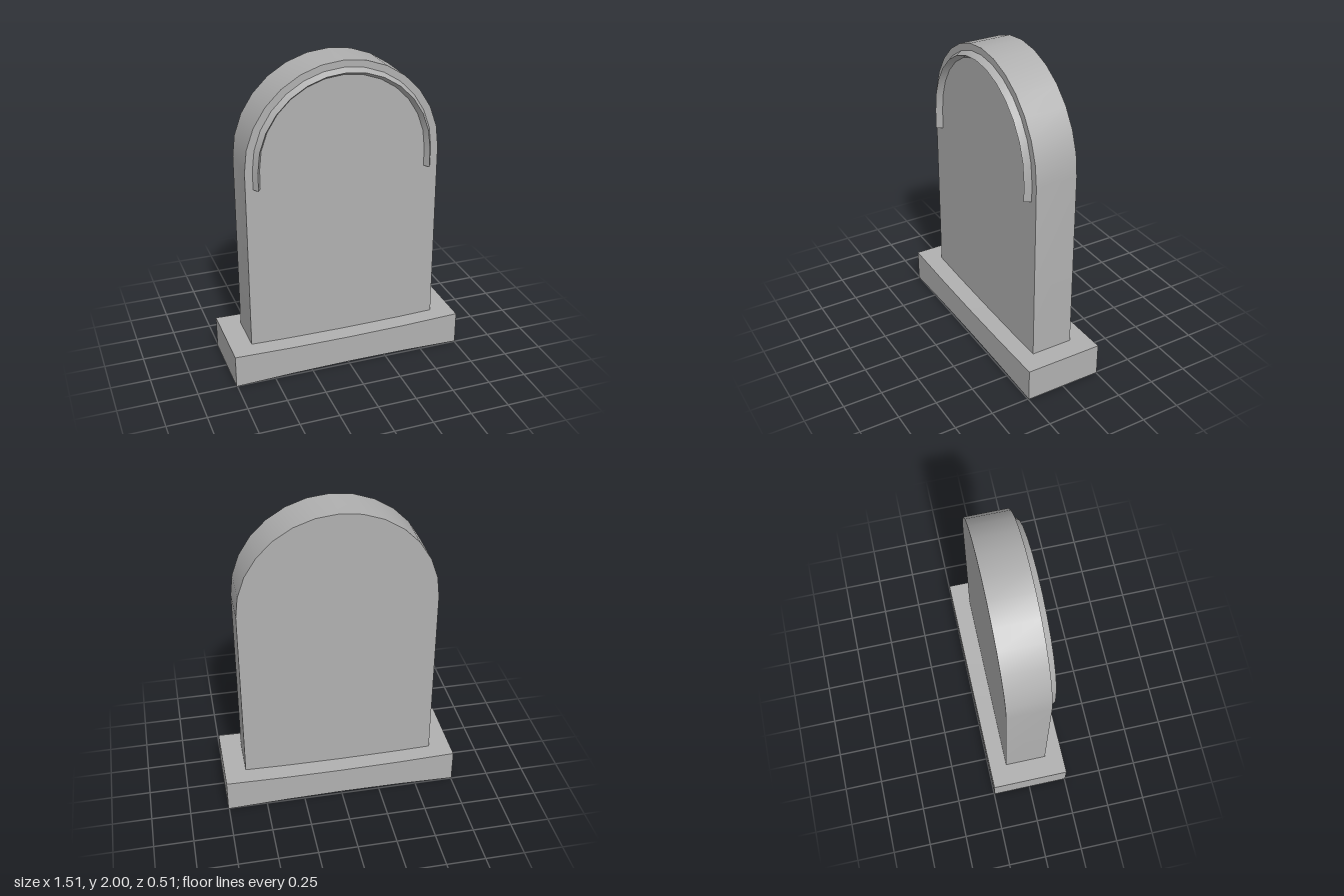
import * as THREE from 'three';
import { toCreasedNormals } from 'three/addons/utils/BufferGeometryUtils.js';

const ARCH_SEGMENTS = 14;

// Points of a round-topped outline, from the right foot over the arch to the left foot
function archPath(radius, springY, footY) {
  const points = [[radius, footY]];
  for (let i = 0; i <= ARCH_SEGMENTS; i++) {
    const a = (i / ARCH_SEGMENTS) * Math.PI;
    points.push([radius * Math.cos(a), springY + radius * Math.sin(a)]);
  }
  points.push([-radius, footY]);
  return points;
}

// Upright slab with a round top
function slabGeometry() {
  const shape = new THREE.Shape(archPath(0.617, 1.383, 0.18).map(([x, y]) => new THREE.Vector2(x, y)));
  const geometry = new THREE.ExtrudeGeometry(shape, { depth: 0.27, bevelEnabled: false });
  geometry.translate(0, 0, -0.135);
  return toCreasedNormals(geometry, 0.5);
}

// Plinth, gently bowed so that its ends are a little taller than its middle
function plinthGeometry() {
  const geometry = new THREE.BoxGeometry(1.51, 0.2, 0.5, 4, 1, 1);
  const pos = geometry.attributes.position;
  for (let i = 0; i < pos.count; i++) {
    const t = pos.getX(i) / 0.755;
    const top = pos.getY(i) > 0;
    pos.setY(i, top ? 0.2 + 0.013 * t * t : 0.015 * (1 - t * t));
    pos.setZ(i, pos.getZ(i) - 0.004 * t);
  }
  return toCreasedNormals(geometry, 0.5);
}

// Raised moulding with a triangular section, following the arch
function mouldingGeometry() {
  const section = [[0.57, 0.134], [0.547, 0.174], [0.525, 0.134]]; // radius, z
  const rails = section.map(([r]) => archPath(r, 1.388, 1.27));
  const count = rails[0].length;
  const vertices = [];
  const index = [];
  for (let k = 0; k < count; k++) {
    section.forEach(([, z], j) => vertices.push(...rails[j][k], z));
  }
  for (let k = 0; k < count - 1; k++) {
    for (let j = 0; j < 3; j++) {
      const a = k * 3 + j;
      const b = k * 3 + ((j + 1) % 3);
      index.push(a, a + 3, b, b, a + 3, b + 3);
    }
  }
  const last = (count - 1) * 3;
  index.push(0, 1, 2, last, last + 2, last + 1);
  const geometry = new THREE.BufferGeometry();
  geometry.setAttribute('position', new THREE.Float32BufferAttribute(vertices, 3));
  geometry.setIndex(index);
  return toCreasedNormals(geometry, 0.5);
}

export function createModel() {
  const stone = new THREE.MeshStandardMaterial({ color: 0xb0b0b0 });
  stone.name = 'grey stone';

  const group = new THREE.Group();
  group.name = 'headstone';
  const add = (name, geometry) => {
    const mesh = new THREE.Mesh(geometry, stone);
    mesh.name = name;
    group.add(mesh);
  };
  add('slab', slabGeometry());
  add('plinth', plinthGeometry());
  add('archMoulding', mouldingGeometry());
  return group;
}
